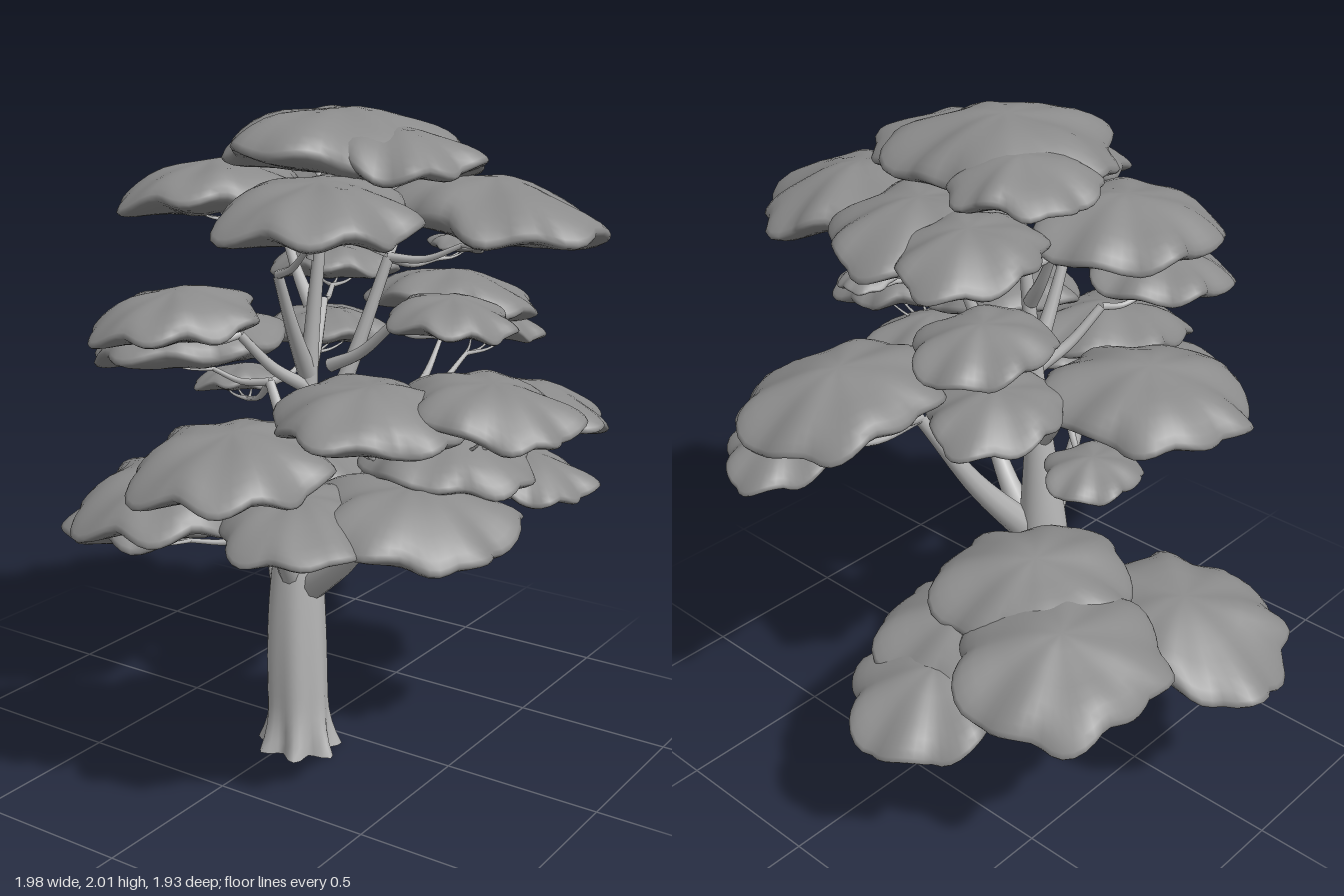
import * as THREE from 'three';
import { mergeVertices } from 'three/addons/utils/BufferGeometryUtils.js';

const V = (x, y, z) => new THREE.Vector3(x, y, z);

const bark = new THREE.MeshStandardMaterial({ color: 0xb4b4b4 });
bark.name = 'bark';
const leaves = new THREE.MeshStandardMaterial({ color: 0x8b8b8b });
leaves.name = 'leaves';

function add(parent, name, geo, mat) {
  const mesh = new THREE.Mesh(geo, mat);
  mesh.name = name;
  parent.add(mesh);
}

// Tube through points, with a radius given by a function of the distance along it
function taperedTube(points, radiusAt, segments, sides) {
  const curve = new THREE.CatmullRomCurve3(points);
  const geo = new THREE.TubeGeometry(curve, segments, 1, sides);
  const pos = geo.attributes.position;
  const p = V(0, 0, 0);
  for (let i = 0; i < pos.count; i++) {
    const t = Math.floor(i / (sides + 1)) / segments;
    const c = curve.getPointAt(t);
    p.fromBufferAttribute(pos, i).sub(c).multiplyScalar(radiusAt(t)).add(c);
    pos.setXYZ(i, p.x, p.y, p.z);
  }
  return geo;
}

// Branch that runs outward first, then curves up to its tip
function limb(start, tip, r0, r1, sides) {
  const mid = start.clone().lerp(tip, 0.5);
  mid.y -= 0.1 * Math.hypot(tip.x - start.x, tip.z - start.z);
  return taperedTube([start, mid, tip], (t) => r1 + (r0 - r1) * (1 - t) ** 1.4, 12, sides);
}

function smooth(geo) {
  geo.deleteAttribute('uv');
  geo.deleteAttribute('normal');
  const merged = mergeVertices(geo, 1e-5);
  merged.computeVertexNormals();
  return merged;
}

// Cushion of leaves: thin scalloped rim, sloping dome, shallow underside,
// drooping away from the trunk the further out it grows
function padGeometry(center, r) {
  const phase = center.x * 37 + center.z * 53;
  const scallops = 10 + Math.round(2 * Math.sin(phase));
  const h = 0.58 * r;
  const geo = new THREE.SphereGeometry(1, 60, 16);
  const pos = geo.attributes.position;
  for (let i = 0; i < pos.count; i++) {
    const x = pos.getX(i), y = pos.getY(i), z = pos.getZ(i);
    const a = Math.atan2(z, x), ring = Math.hypot(x, z);
    const edge = 0.09 * Math.abs(Math.sin((scallops * a) / 2 + 0.3 * Math.sin(a * 2) * Math.sin(a)))
      + 0.06 * Math.sin(2 * a + phase) + 0.05 * Math.sin(5 * a + 2 * phase) + 0.03 * Math.sin(3 * a - phase) - 0.05;
    const wave = r * (1 + edge * ring ** 3);
    const lump = 0.08 * ring ** 2 * (Math.sin(3 * a + phase) + Math.sin(7 * a + 2 * phase))
      + 0.05 * Math.sin(6 * x + phase) * Math.cos(5 * z + phase);
    const height = 0.32 + lump + (y > 0 ? 0.68 * y ** 1.35 : 0.3 * y);
    const px = x * wave, pz = z * wave;
    const droop = 0.22 * (px * (center.x - 0.03) + pz * (center.z - 0.13));
    pos.setXYZ(i, px, height * h - droop, pz);
  }
  return smooth(geo).translate(center.x, center.y, center.z);
}

// Leaf pad carried by a branch that forks into twigs; center lies on its underside
function leafPad(group, tip, r0, center, r) {
  add(group, 'leafPad', padGeometry(center, r), leaves);
  const hub = center.clone().lerp(tip, 0.3);
  hub.y = Math.min(hub.y, center.y - 0.015);
  add(group, 'branch', limb(tip, hub, r0, 0.008, 7), bark);
  const out = Math.atan2(center.z - tip.z, center.x - tip.x);
  for (const turn of [-1.1, 0, 1.1]) {
    const reach = V(Math.cos(out + turn), 0.3, Math.sin(out + turn)).multiplyScalar(r * 0.45);
    add(group, 'twig', limb(hub, reach.add(center), 0.008, 0.002, 5), bark);
  }
}

// Bough from the trunk to its tip; each pad is x, underside y, z, radius
function bough(tree, name, thick, start, tip, ...pads) {
  const group = new THREE.Group();
  group.name = name;
  tree.add(group);
  const end = V(...tip);
  const thin = 0.009 + thick * 0.22;
  add(group, 'bough', limb(V(...start), end, thick, thin, 10), bark);
  for (const [x, y, z, r] of pads) leafPad(group, end, thin * 0.9, V(x, y, z), r);
}

// Tapering, grooved trunk with roots spreading at the ground
function trunkGeometry() {
  const path = [V(0.03, 0, 0.14), V(0.02, 0.5, 0.135), V(0.05, 1.2, 0.115), V(0.1, 1.84, 0.09)];
  const geo = taperedTube(path, (t) => 0.012 + 0.086 / (1 + (t / 0.46) ** 4), 48, 42);
  const pos = geo.attributes.position;
  for (let i = 0; i < pos.count; i++) {
    const y = Math.max(0, pos.getY(i));
    const dx = pos.getX(i) - 0.03, dz = pos.getZ(i) - 0.14;
    const a = Math.atan2(dz, dx);
    const flare = Math.max(0, 1 - y / 0.17) ** 2;
    const groove = 0.06 * Math.max(0, 1 - y / 0.7) * Math.sin(6 * a + 1);
    const s = 1 + groove + flare * (0.25 + 0.22 * Math.sin(7 * a));
    pos.setXYZ(i, 0.03 + dx * s, y, 0.14 + dz * s * (1 - 0.1 * Math.max(0, 1 - y / 0.7)));
  }
  return smooth(geo);
}

export function createModel() {
  const tree = new THREE.Group();
  tree.name = 'tree';
  add(tree, 'trunk', trunkGeometry(), bark);
  const base = new THREE.CircleGeometry(0.1, 24).rotateX(Math.PI / 2);
  add(tree, 'trunkBase', base.translate(0.03, 0.002, 0.14), bark);

  // Lower boughs
  bough(tree, 'lowBough', 0.055, [0.02, 0.36, 0.13], [-0.32, 0.57, -0.18],
    [-0.65, 0.53, 0.01, 0.31], [-0.58, 0.63, -0.47, 0.29], [-0.24, 0.58, -0.48, 0.26],
    [-0.28, 0.5, -0.67, 0.25], [-0.33, 0.69, -0.3, 0.28]);
  bough(tree, 'rightBough', 0.05, [0.06, 0.54, 0.13], [0.42, 0.9, 0.25],
    [0.62, 0.9, 0.45, 0.27], [0.61, 1.02, 0.24, 0.23], [0.48, 1.16, 0.44, 0.25],
    [0.74, 1.18, 0.24, 0.23], [0.68, 0.92, -0.08, 0.2]);
  bough(tree, 'frontBough', 0.04, [0.03, 0.54, 0.15], [0.06, 0.9, 0.36],
    [0, 0.91, 0.68, 0.27], [0.19, 1.03, 0.67, 0.27], [0.4, 0.91, 0.66, 0.22]);
  bough(tree, 'backBough', 0.055, [0.05, 0.58, 0.11], [0.2, 1.1, -0.24],
    [0.13, 1.28, -0.61, 0.27], [0.19, 1.19, -0.75, 0.19], [0.56, 1.03, -0.38, 0.23]);
  bough(tree, 'leftBough', 0.03, [0.04, 0.92, 0.13], [-0.14, 1.15, 0.05],
    [-0.41, 1.19, 0.11, 0.29], [-0.39, 1.06, -0.12, 0.14], [-0.15, 1.22, -0.27, 0.21]);

  // Middle boughs
  bough(tree, 'secondStem', 0.035, [0.06, 0.95, 0.11], [0.22, 1.56, -0.06],
    [0.54, 1.63, -0.12, 0.31], [0.16, 1.68, -0.25, 0.27], [0.3, 1.55, -0.33, 0.09]);
  bough(tree, 'sideBough', 0.022, [0.1, 1.24, 0.07], [0.32, 1.39, 0.08], [0.52, 1.39, 0.08, 0.18]);
  bough(tree, 'midFrontBough', 0.022, [0.05, 1.18, 0.13], [-0.05, 1.36, 0.32], [-0.12, 1.38, 0.52, 0.23]);
  bough(tree, 'midBackBough', 0.022, [0.05, 1.2, 0.11], [-0.04, 1.4, -0.1], [-0.13, 1.43, -0.3, 0.2]);

  // Crown
  bough(tree, 'upperFrontBough', 0.03, [0.05, 1.22, 0.12], [0.06, 1.54, 0.28], [0.27, 1.67, 0.38, 0.28]);
  bough(tree, 'upperLeftBough', 0.024, [0.05, 1.42, 0.1], [-0.06, 1.61, 0.07],
    [-0.27, 1.68, 0.15, 0.27], [-0.09, 1.7, -0.31, 0.22]);
  bough(tree, 'crownBough', 0.024, [0.06, 1.56, 0.1], [0.1, 1.77, 0.08],
    [0.13, 1.82, 0.08, 0.32], [0.29, 1.81, 0.07, 0.26], [-0.06, 1.83, -0.06, 0.22]);
  return tree;
}
